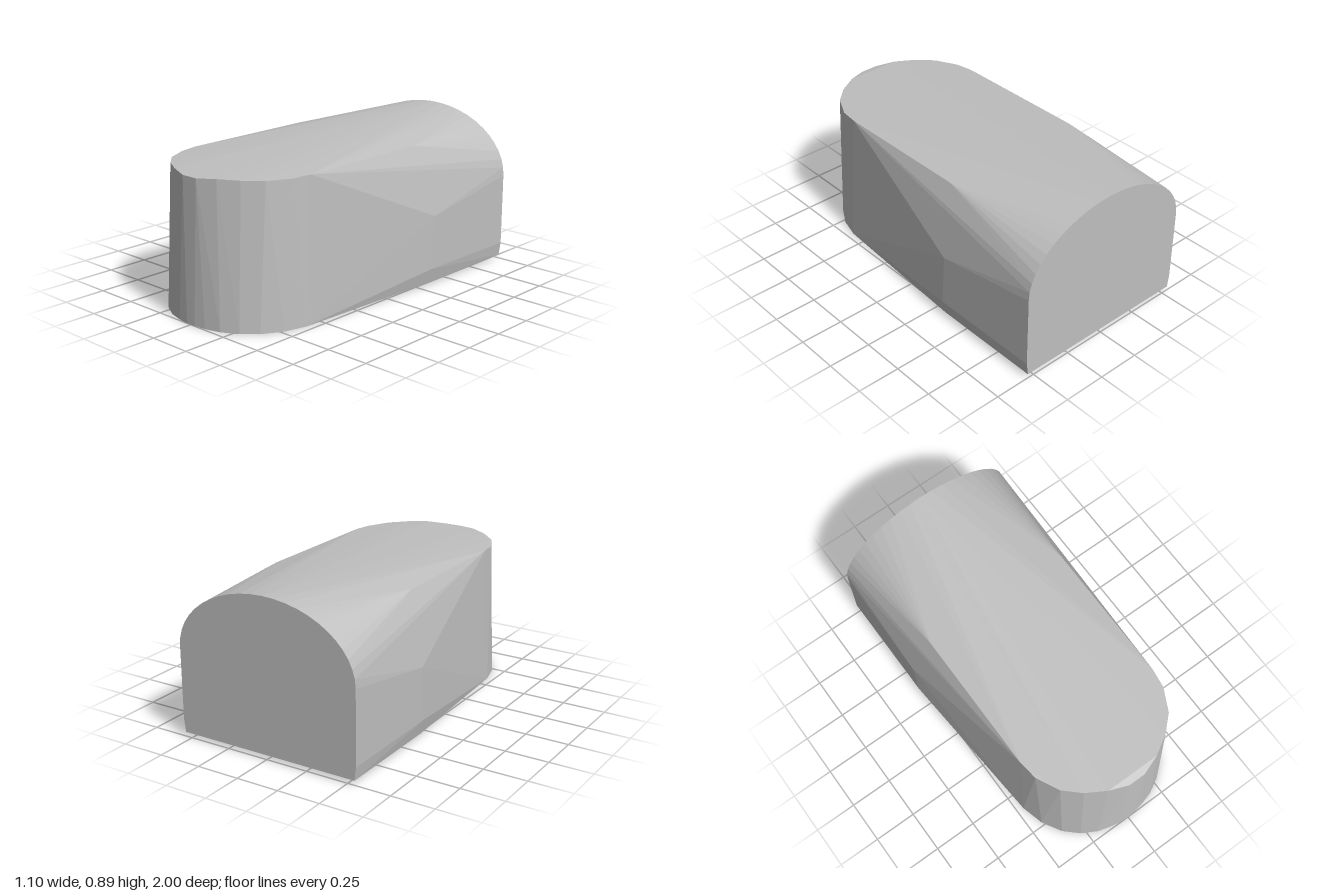
import * as THREE from 'three';
import { ConvexGeometry } from 'three/addons/geometries/ConvexGeometry.js';

export function createModel() {
  const group = new THREE.Group();
  const points = [];
  const add = (x, y, z) => points.push(new THREE.Vector3(x, y, z));
  const mirrored = (x, y, z) => { add(x, y, z); add(-x, y, z); };

  // Arched rear end
  const steps = 24;
  for (let i = 0; i <= steps; i++) {
    const a = (Math.PI * i) / steps;
    add(0.55 * Math.cos(a), 0.52 + 0.375 * Math.sin(a), -1);
  }
  mirrored(0.55, 0.1, -1);
  mirrored(0.54, 0.025, -1);

  // Widest part of the sides, and the belly edge below it
  mirrored(0.548, 0.41, -0.35);
  mirrored(0.548, 0.1, -0.33);
  mirrored(0.53, 0.0145, -0.33);

  // Straight shoulder edges
  mirrored(0.44, 0.81, -0.28);
  mirrored(0.44, 0.808, 0.55);

  // Rounded nose: upper rim [x, y, z] and lower rim [x, z]
  const upperRim = [
    [0.425, 0.805, 0.66], [0.36, 0.805, 0.79], [0.27, 0.807, 0.875],
    [0.16, 0.808, 0.94], [0.05, 0.8, 0.98],
  ];
  upperRim.forEach((p) => mirrored(...p));
  const lowerRim = [
    [0.46, 0.6], [0.425, 0.73], [0.36, 0.84], [0.28, 0.915],
    [0.19, 0.965], [0.1, 0.99], [0.03, 1],
  ];
  lowerRim.forEach(([x, z]) => mirrored(x, 0, z));

  const grey = new THREE.MeshStandardMaterial({ color: 0xbfbfbf });
  grey.name = 'grey';
  const body = new THREE.Mesh(new ConvexGeometry(points), grey);
  body.name = 'body';
  group.add(body);
  return group;
}
